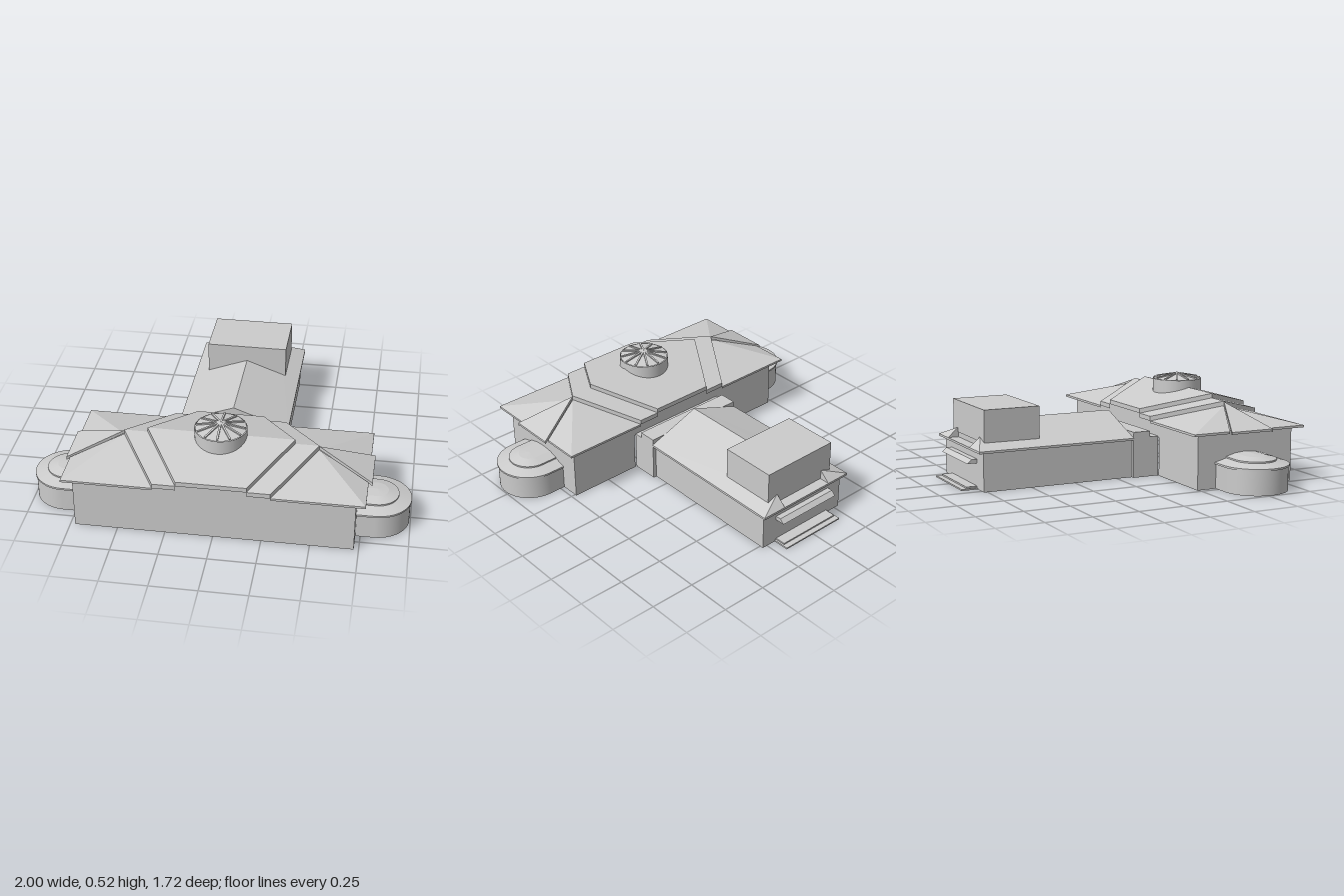
import * as THREE from 'three';

const material = new THREE.MeshStandardMaterial({ color: 0xcccccc, side: THREE.DoubleSide });
const flat = new THREE.MeshStandardMaterial({ color: 0xcccccc, side: THREE.DoubleSide, flatShading: true });
const ZC = 0.525; // z of the main ridge

// Mesh from flat faces, each a loop of corners in anticlockwise order
function facesMesh(name, faces) {
  const pos = [];
  for (const f of faces)
    for (let i = 1; i < f.length - 1; i++) pos.push(...f[0], ...f[i], ...f[i + 1]);
  const g = new THREE.BufferGeometry();
  g.setAttribute('position', new THREE.Float32BufferAttribute(pos, 3));
  g.computeVertexNormals();
  const m = new THREE.Mesh(g, material);
  m.name = name;
  return m;
}

const mirrorX = (faces) => faces.concat(faces.map((f) => f.map(([x, y, z]) => [-x, y, z]).reverse()));
const mirrorZ = (faces) => faces.concat(faces.map((f) => f.map(([x, y, z]) => [x, y, 2 * ZC - z]).reverse()));

// Vertical face under the edge from a to b, dropped by d
const skirt = (a, b, d) => [[a[0], a[1] - d, a[2]], [b[0], b[1] - d, b[2]], b, a];
const wall = (x1, z1, x2, z2, y0, y1) => [[x1, y0, z1], [x2, y0, z2], [x2, y1, z2], [x1, y1, z1]];

function box(name, x0, x1, y0, y1, z0, z1) {
  const m = new THREE.Mesh(new THREE.BoxGeometry(x1 - x0, y1 - y0, z1 - z0), material);
  m.position.set((x0 + x1) / 2, (y0 + y1) / 2, (z0 + z1) / 2);
  m.name = name;
  return m;
}

// Prism along x from a [z, y] outline
function prismX(name, outline, halfWidth) {
  const s = new THREE.Shape(outline.map(([z, y]) => new THREE.Vector2(-z, y)));
  const g = new THREE.ExtrudeGeometry(s, { depth: halfWidth * 2, bevelEnabled: false });
  g.translate(0, 0, -halfWidth).rotateY(Math.PI / 2);
  const m = new THREE.Mesh(g, material);
  m.name = name;
  return m;
}

// Main hall walls, open underneath, taller below the raised roof tiers
function mainWalls() {
  const faces = [wall(0.725, 0.815, 0.725, 0.24, 0, 0.3)];
  for (const [x0, x1, top] of [[0, 0.19, 0.362], [0.19, 0.31, 0.338], [0.31, 0.725, 0.305]]) {
    faces.push(wall(x0, 0.815, x1, 0.815, 0, top));
    faces.push(wall(x1, 0.24, x0, 0.24, x0 < 0.3 ? 0.21 : 0, top));
  }
  return facesMesh('mainWalls', mirrorX(faces));
}

// Three stepped roof tiers, each lower than the one inside it
function mainRoof() {
  const group = new THREE.Group();
  group.name = 'mainRoof';
  const step = 0.025, ez = 0.86;
  const ridge = (x, y) => [x, y, ZC];
  const eave = (x, y) => [x, y, ez];
  const add = (name, faces) => group.add(facesMesh(name, mirrorX(mirrorZ(faces))));

  const r0 = ridge(0.385, 0.445), e0 = eave(0.18, 0.355);
  add('centreRoofTier', [
    [eave(0, 0.355), e0, r0, ridge(0, 0.445)],
    skirt(e0, r0, step), skirt(eave(0, 0.355), e0, step),
  ]);

  const r1 = ridge(0.51, 0.42), e1 = eave(0.3, 0.33);
  add('middleRoofTier', [
    [eave(0.18, 0.33), e1, r1, ridge(0.385, 0.42)],
    skirt(e1, r1, step), skirt(eave(0.18, 0.33), e1, step),
  ]);

  const apex = ridge(0.51, 0.395), corner = [0.775, 0.305, ez], end = [0.775, 0.305, 0.65];
  add('outerRoofTier', [
    [eave(0.3, 0.305), corner, apex], [corner, end, apex],
    skirt(eave(0.3, 0.305), corner, 0.012), skirt(corner, end, 0.012),
  ]);

  const top = ridge(0.51, 0.416), g = [0.795, 0.304, 0.65], mid = ridge(0.795, 0.304);
  add('endRoofPanel', [[g, mid, top], skirt(g, top, 0.018), skirt(g, mid, 0.012)]);
  return group;
}

// Round lantern with a ribbed shallow cone
function lantern() {
  const group = new THREE.Group();
  group.name = 'lantern';
  const drum = new THREE.Mesh(new THREE.CylinderGeometry(0.137, 0.137, 0.09, 32, 1, true), material);
  drum.name = 'lanternDrum';
  drum.position.y = 0.44;
  const cone = new THREE.Mesh(new THREE.ConeGeometry(0.137, 0.025, 12, 1, true), flat);
  cone.name = 'lanternRoof';
  cone.position.y = 0.4975;
  group.add(drum, cone);
  for (let i = 0; i < 12; i++) {
    const arm = new THREE.Group();
    arm.name = 'lanternRib';
    arm.rotation.y = (i * Math.PI) / 6;
    const rib = new THREE.Mesh(new THREE.BoxGeometry(0.13, 0.01, 0.01), material);
    rib.position.set(0.066, 0.5, 0);
    rib.rotation.z = -0.19;
    arm.add(rib);
    group.add(arm);
  }
  group.position.z = ZC;
  return group;
}

// Rounded end bay: one profile swept along a straight, a half circle and back
function apse(side) {
  const group = new THREE.Group();
  group.name = side > 0 ? 'leftApse' : 'rightApse';
  const profile = [[0.176, 0], [0.176, 0.13], [0.182, 0.13], [0.182, 0.14], [0.115, 0.157], [0.115, 0.165], [0.06, 0.18], [0, 0.185]];
  const n = 32;
  for (let k = 0; k < profile.length - 1; k++) {
    const pos = [], index = [];
    for (let i = 0; i <= n + 2; i++) {
      const a = Math.PI / 2 - (Math.PI * Math.min(Math.max(i - 1, 0), n)) / n;
      const cx = i === 0 || i === n + 2 ? 0.725 : 0.818;
      for (const [r, y] of [profile[k], profile[k + 1]])
        pos.push(side * (cx + r * Math.cos(a)), y, ZC + r * Math.sin(a));
      if (i > 0) {
        const b = 2 * (i - 1);
        index.push(...(side > 0 ? [b, b + 2, b + 1, b + 1, b + 2, b + 3] : [b, b + 1, b + 2, b + 1, b + 3, b + 2]));
      }
    }
    const g = new THREE.BufferGeometry();
    g.setAttribute('position', new THREE.Float32BufferAttribute(pos, 3));
    g.setIndex(index);
    g.computeVertexNormals();
    const m = new THREE.Mesh(g, material);
    m.name = k === 0 ? 'apseWall' : 'apseRoof';
    group.add(m);
  }
  return group;
}

// Rear wing with a gabled roof and short hipped returns at its back end
function rearWing() {
  const group = new THREE.Group();
  group.name = 'rearWing';
  group.add(facesMesh('wingWalls', mirrorX([
    wall(0.28, 0.09, 0.28, -0.77, 0, 0.21),
    wall(0.28, -0.77, 0, -0.77, 0, 0.21),
    wall(0.3, 0.09, 0.28, 0.09, 0, 0.21),
  ])));

  const y = 0.218, ridge = 0.33;
  const c = [0.302, y, -0.8], f = [0.302, y, 0.09], h = [0.16, 0.272, -0.74], b = [0.16, y, -0.8];
  group.add(facesMesh('wingRoof', mirrorX([
    [f, c, h, [0, ridge, -0.74], [0, ridge, 0.09]],
    [c, b, h],
    [b, [0.16, y, -0.74], h],
    [b, [0, y, -0.8], [0, y, -0.74], [0.16, y, -0.74]],
    [[0.16, y, -0.74], [0, y, -0.74], [0, ridge, -0.74], h],
    [[0, y, 0.09], f, [0, ridge, 0.09]],
    skirt(f, c, 0.012), skirt(c, [0, y, -0.8], 0.012),
    [[0.302, 0.206, -0.8], [0.302, 0.206, 0.09], [0.28, 0.206, 0.09], [0.28, 0.206, -0.77]],
    [[0.302, 0.206, -0.8], [0.28, 0.206, -0.77], [0, 0.206, -0.77], [0, 0.206, -0.8]],
  ])));

  // Stepped link between the hall and the wing
  group.add(facesMesh('link', mirrorX([
    wall(0.3, 0.24, 0.3, 0.19, 0, 0.218),
    wall(0.3, 0.19, 0.3, 0.09, 0, 0.25),
    [[0, 0.218, 0.24], [0.3, 0.218, 0.24], [0.3, 0.218, 0.19], [0, 0.218, 0.19]],
    [[0, 0.25, 0.19], [0.3, 0.25, 0.19], [0.3, 0.25, 0.09], [0, 0.25, 0.09]],
    wall(0, 0.19, 0.3, 0.19, 0.218, 0.25),
    wall(0.3, 0.09, 0, 0.09, 0.21, 0.25),
  ])));

  // Plain block rising through the roof, open underneath
  group.add(facesMesh('roofBlock', mirrorX([
    wall(0.225, -0.43, 0.225, -0.743, 0.245, 0.42),
    wall(0, -0.43, 0.225, -0.43, 0.245, 0.42),
    wall(0.225, -0.743, 0, -0.743, 0.245, 0.42),
    [[0, 0.42, -0.43], [0.225, 0.42, -0.43], [0.225, 0.42, -0.743], [0, 0.42, -0.743]],
  ])));

  // Back entrance
  group.add(prismX('entranceCanopy', [[-0.77, 0.138], [-0.825, 0.138], [-0.8, 0.16], [-0.77, 0.16]], 0.19));
  group.add(box('lowerStep', -0.195, 0.195, 0, 0.008, -0.86, -0.77));
  group.add(box('upperStep', -0.185, 0.185, 0.008, 0.016, -0.83, -0.77));
  return group;
}

export function createModel() {
  const model = new THREE.Group();
  model.name = 'building';
  model.add(mainWalls(), mainRoof(), lantern(), apse(1), apse(-1), rearWing());
  return model;
}
